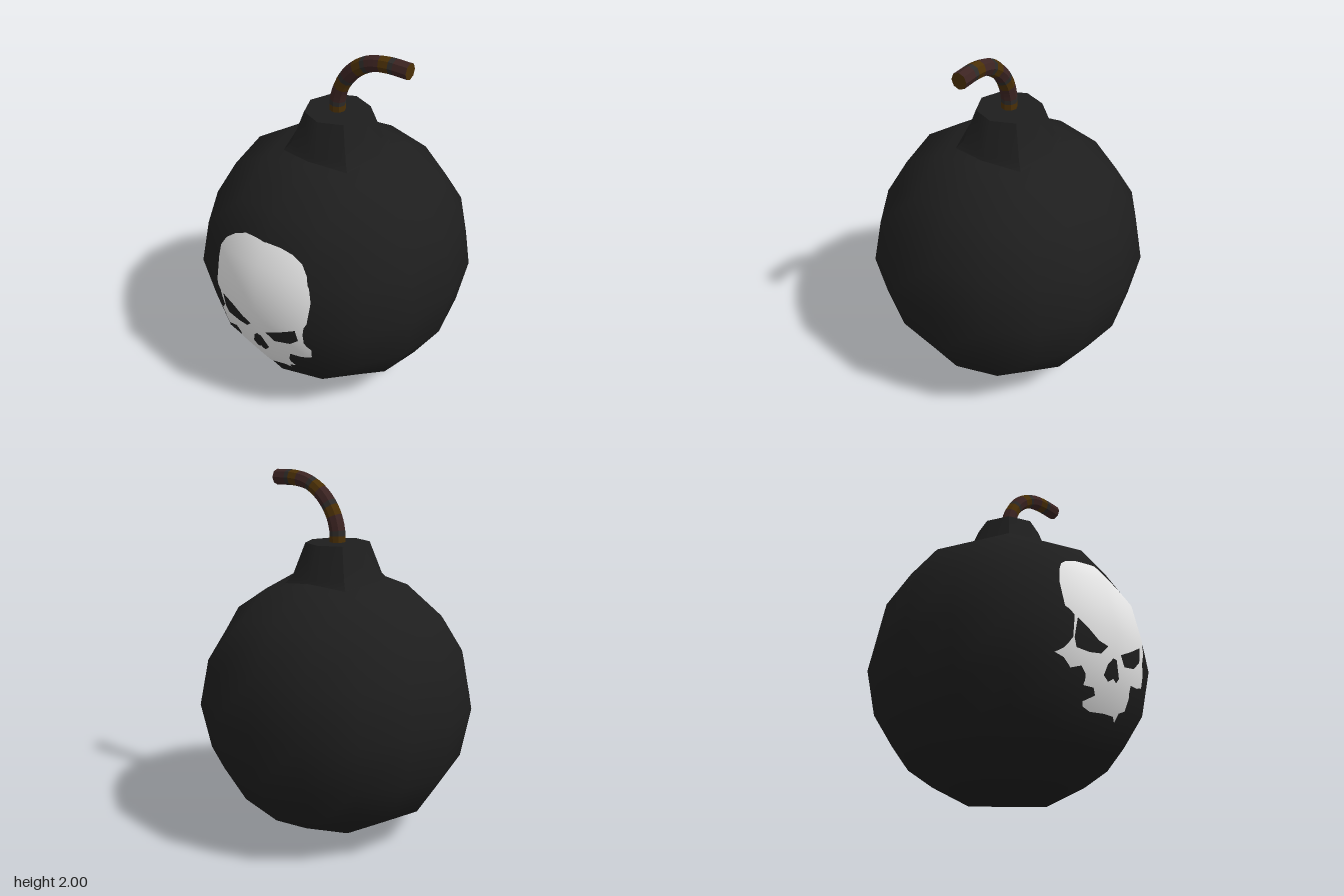
import * as THREE from 'three';
import { mergeVertices } from 'three/addons/utils/BufferGeometryUtils.js';

const R = 0.742; // half width of the body, also the height of its centre

const mat = (name, color) => {
  const m = new THREE.MeshStandardMaterial({ color });
  m.name = name;
  return m;
};

// Ball made from a rounded cube with 4 x 4 quads per side.
// Keys are a corner's grid steps from the centre, largest first;
// values are the coordinates that 0, 1 and 2 steps become.
const STEPS = {
  '200': [0, 0, 0.742], '210': [0, 0.296, 0.692], '211': [0, 0.275, 0.645],
  '220': [0, 0, 0.543], '221': [0, 0.255, 0.506], '222': [0, 0, 0.43],
};
function ballGeometry() {
  const box = new THREE.BoxGeometry(4, 4, 4, 4, 4, 4);
  const p = box.attributes.position;
  for (let i = 0; i < p.count; i++) {
    const v = [p.getX(i), p.getY(i), p.getZ(i)].map(Math.round);
    const key = v.map(Math.abs).sort((a, b) => b - a).join('');
    p.setXYZ(i, ...v.map(c => Math.sign(c) * STEPS[key][Math.abs(c)]));
  }
  box.deleteAttribute('normal');
  box.deleteAttribute('uv');
  box.clearGroups();
  const g = mergeVertices(box);
  g.computeVertexNormals();
  return g;
}

// Splits every triangle (list of 9 numbers each) into four
function split(pos) {
  const out = [];
  const mid = (a, b) => a.clone().add(b).multiplyScalar(0.5);
  for (let i = 0; i < pos.length; i += 9) {
    const [a, b, c] = [0, 3, 6].map(k => new THREE.Vector3(pos[i + k], pos[i + k + 1], pos[i + k + 2]));
    const ab = mid(a, b), bc = mid(b, c), ca = mid(c, a);
    for (const v of [a, ab, ca, ab, b, bc, ca, bc, c, ab, bc, ca]) out.push(v.x, v.y, v.z);
  }
  return out;
}

// Outline points in hundredths of a unit
const points = list => {
  const out = [];
  for (let i = 0; i < list.length; i += 2) out.push(new THREE.Vector2(list[i] / 100, list[i + 1] / 100));
  return out;
};

// Skull cut from a flat outline and laid on the facets of the ball
function skullGeometry(ball) {
  const shape = new THREE.Shape(points([
    -6, 115, 1, 115.3, 9, 114.6, 16, 113, 22, 110, 26, 105.5, 28.5, 100, 30, 92, 29.5, 80, 28, 77,
    27.5, 66, 30.5, 61, 30, 55, 24, 53, 17.5, 52.5, 16.5, 48, 17.5, 40, 13, 38, 12, 33.5, 9, 35.5,
    0, 34.5, -8, 34, -13, 35.5, -14, 37.5, -8.5, 41, -11, 44, -17, 44, -17, 49, -20, 52.5, -26.5, 50,
    -30, 54.5, -34, 56.5, -30.5, 59, -26.5, 65, -27, 76, -31, 80, -31, 94, -29.5, 102, -26.5, 107,
    -21, 111, -14, 114,
  ]));
  shape.holes = [
    [-25, 75, -18, 71.5, -11, 67, -5, 65.5, -9, 61, -16, 60, -24, 60.5, -25.7, 65], // eye
    [23.5, 74, 24.3, 66.5, 19, 61.5, 9.5, 59.3, 5, 64, 14, 68.5], // eye
    [-1, 60.5, 1.5, 60, 5, 52, 2.5, 49, 0, 50.5, -3, 48.5, -6, 51, -4, 57], // nose
  ].map(h => new THREE.Path(points(h)));

  // Planes of the front-facing facets
  const tri = ball.toNonIndexed().attributes.position;
  const planes = [];
  for (let i = 0; i < tri.count; i += 3) {
    const corners = [0, 1, 2].map(k => new THREE.Vector3().fromBufferAttribute(tri, i + k));
    const plane = new THREE.Plane().setFromCoplanarPoints(...corners);
    if (plane.normal.z > 0.05) planes.push(plane);
  }

  let pos = Array.from(new THREE.ShapeGeometry(shape).toNonIndexed().attributes.position.array);
  for (let k = 0; k < 4; k++) pos = split(pos);
  const normals = [];
  for (let i = 0; i < pos.length; i += 3) {
    const x = pos[i], y = pos[i + 1] - R;
    const depth = planes.map(p => -(p.constant + p.normal.x * x + p.normal.y * y) / p.normal.z);
    pos[i + 1] = y;
    pos[i + 2] = Math.min(...depth) + 0.006;
    normals.push(...new THREE.Vector3(x, y, pos[i + 2]).normalize().toArray());
  }
  const g = new THREE.BufferGeometry();
  g.setAttribute('position', new THREE.Float32BufferAttribute(pos, 3));
  g.setAttribute('normal', new THREE.Float32BufferAttribute(normals, 3));
  return g;
}

export function createModel() {
  const group = new THREE.Group();
  const iron = mat('blackIron', 0x1e1e1e);
  const bone = mat('boneWhite', 0xeeeeee);
  const cord = [mat('redBrown', 0x3c2422), mat('ochre', 0x4b3006), mat('greyBrown', 0x2e2b29)];
  const add = (name, geometry, material, x = 0, y = 0, z = 0) => {
    const m = new THREE.Mesh(geometry, material);
    m.name = name;
    m.position.set(x, y, z);
    group.add(m);
    return m;
  };

  // Round body with the painted skull
  const ball = ballGeometry();
  add('body', ball, iron, 0, R, 0);
  add('skullEmblem', skullGeometry(ball), bone, 0, R, 0);

  // Eight-sided collar: four rounded sides that meet in sharp diagonal edges
  const profile = points([29, 141, 24.5, 145.5, 17.5, 163]);
  for (let k = 0; k < 4; k++) {
    const side = new THREE.LatheGeometry(profile, 2, Math.PI / 4 + k * Math.PI / 2, Math.PI / 2);
    side.computeVertexNormals();
    add('collarSide', side, iron);
  }
  add('collarTop', new THREE.CircleGeometry(0.175, 8), iron, 0, 1.63, 0).rotation.x = -Math.PI / 2;

  // Bent fuse with coloured bands
  const r = 0.043, segments = 24, sides = 8;
  const path = new THREE.CatmullRomCurve3([
    [0, 1.61], [0.004, 1.70], [0.035, 1.79], [0.1, 1.875], [0.19, 1.935], [0.29, 1.957], [0.42, 1.957],
  ].map(([x, y]) => new THREE.Vector3(x, y, 0)));
  const tube = new THREE.TubeGeometry(path, segments, r, sides);
  const bands = [0, 0, 0, 2, 1, 1];
  for (let s = 0; s < segments; s++) {
    tube.addGroup(s * sides * 6, sides * 6, bands[(segments - 1 - s) % bands.length]);
  }
  const fuse = tube.toNonIndexed();
  fuse.computeVertexNormals();
  add('fuse', fuse, cord);
  add('fuseTip', new THREE.CircleGeometry(r, sides), cord[1], 0.42, 1.957, 0).rotation.y = Math.PI / 2;

  return group;
}
